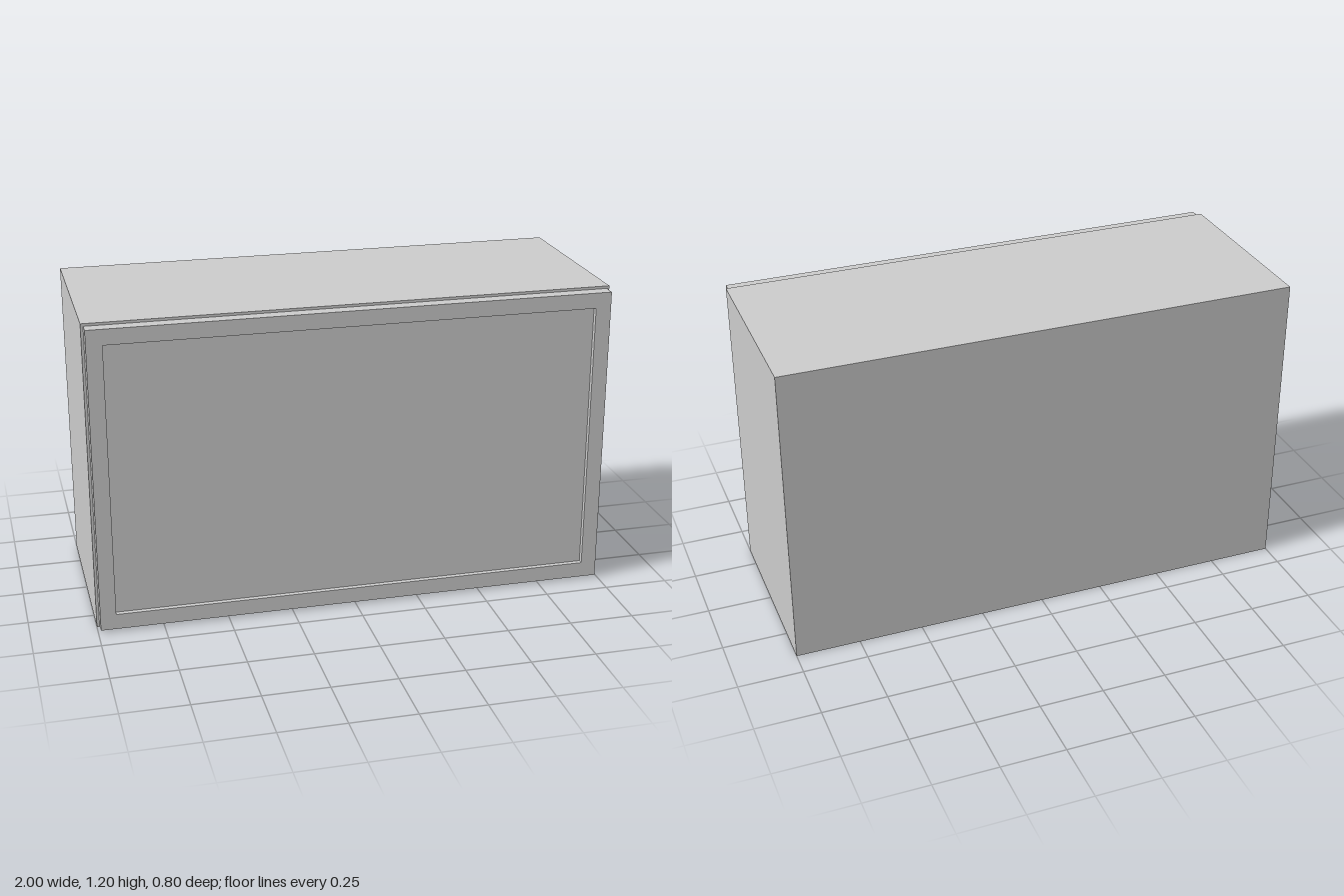
import * as THREE from 'three';

const W = 2, H = 1.2, BACK = -0.4, FRONT = 0.35, T = 0.05;

export function createModel() {
  const group = new THREE.Group();
  const material = new THREE.MeshStandardMaterial({ color: 0xcccccc });

  const add = (name, geometry) => {
    const mesh = new THREE.Mesh(geometry, material);
    mesh.name = name;
    group.add(mesh);
    return mesh;
  };

  // Box given by its minimum and maximum corners
  const panel = (name, [x0, y0, z0], [x1, y1, z1]) =>
    add(name, new THREE.BoxGeometry(x1 - x0, y1 - y0, z1 - z0))
      .position.set((x0 + x1) / 2, (y0 + y1) / 2, (z0 + z1) / 2);

  // Carcass: full-height sides with the other panels fitted between them
  const inner = W / 2 - T;
  panel('leftSide', [inner, 0, BACK], [W / 2, H, FRONT]);
  panel('rightSide', [-W / 2, 0, BACK], [-inner, H, FRONT]);
  panel('bottomPanel', [-inner, 0, BACK], [inner, T, FRONT]);
  panel('topPanel', [-inner, H - T, BACK], [inner, H, FRONT]);
  panel('backPanel', [-inner, T, BACK], [inner, H - T, BACK + 0.02]);

  // Door: a flat frame around a slightly recessed panel
  const rectangle = (path, x, y0, y1) =>
    path.moveTo(-x, y0).lineTo(x, y0).lineTo(x, y1).lineTo(-x, y1).closePath();
  const frame = rectangle(new THREE.Shape(), 0.99, 0.01, H - 0.01);
  frame.holes.push(rectangle(new THREE.Path(), 0.93, 0.07, H - 0.07));
  add('doorFrame', new THREE.ExtrudeGeometry(frame, { depth: T, bevelEnabled: false }))
    .position.z = FRONT;
  panel('doorPanel', [-0.93, 0.07, FRONT], [0.93, H - 0.07, FRONT + 0.03]);

  return group;
}
